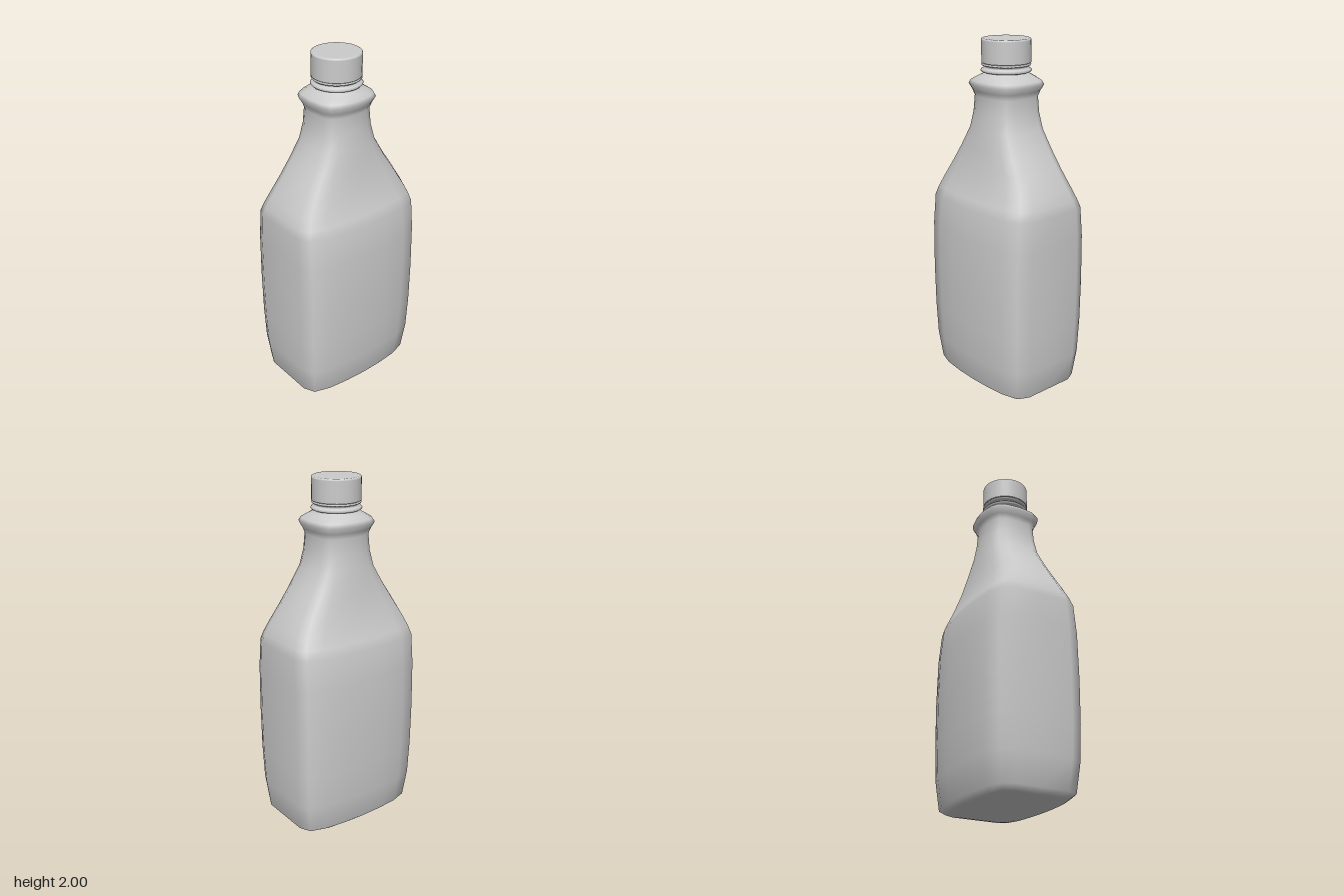
import * as THREE from 'three';

const material = new THREE.MeshStandardMaterial({ color: 0xcccccc, side: THREE.DoubleSide });

// Quarter outline of the body section (unit size), and the angles of its rounded counterpart
const quarter = [[1, 0], [1, 0.58], [0.92, 0.82], [0.67, 0.935], [0.33, 0.985]];
const angles = [0, 27, 45, 60, 75];

// Closed unit outline; round = 0 is the boxy body, 1 is a circle
function outline(round) {
  const q = quarter.map(([x, z], i) => {
    const a = THREE.MathUtils.degToRad(angles[i]);
    return [THREE.MathUtils.lerp(x, Math.cos(a), round), THREE.MathUtils.lerp(z, Math.sin(a), round)];
  });
  const end = [0, 1];
  const mirror = ([x, z]) => [-x, z];
  const half = [...q, end, ...q.slice(1).reverse().map(mirror)];
  return [...half, ...half.map(([x, z]) => [-x, -z])];
}

// Loft through sections of [y, half width, half depth, roundness]
function loft(sections) {
  const pos = [], index = [];
  sections.forEach(([y, w, d, round]) => outline(round).forEach(([x, z]) => pos.push(x * w, y, z * d)));
  const n = outline(0).length;
  for (let s = 0; s < sections.length - 1; s++) {
    for (let i = 0; i < n; i++) {
      const a = s * n + i, b = s * n + (i + 1) % n;
      index.push(a, a + n, b, b, a + n, b + n);
    }
  }
  // Base
  const centre = pos.length / 3;
  pos.push(0, sections[0][0], 0);
  for (let i = 0; i < n; i++) index.push(centre, i, (i + 1) % n);
  const g = new THREE.BufferGeometry();
  g.setAttribute('position', new THREE.Float32BufferAttribute(pos, 3));
  g.setIndex(index);
  g.computeVertexNormals();
  return g;
}

function lathe(points) {
  return new THREE.LatheGeometry(points.map(([r, y]) => new THREE.Vector2(r, y)), 32);
}

export function createModel() {
  const group = new THREE.Group();
  const add = (name, geometry) => {
    const mesh = new THREE.Mesh(geometry, material);
    mesh.name = name;
    group.add(mesh);
  };

  // Body, sloping shoulder and flared collar
  add('bottleBody', loft([
    [0.005, 0.30, 0.20, 0],
    [0.010, 0.335, 0.235, 0],
    [0.035, 0.376, 0.265, 0],
    [0.20, 0.395, 0.288, 0],
    [0.40, 0.402, 0.296, 0],
    [0.65, 0.403, 0.30, 0],
    [0.92, 0.402, 0.295, 0],
    [1.09, 0.398, 0.277, 0],
    [1.14, 0.386, 0.256, 0.02],
    [1.20, 0.362, 0.232, 0.06],
    [1.30, 0.308, 0.203, 0.15],
    [1.40, 0.247, 0.186, 0.25],
    [1.51, 0.187, 0.169, 0.4],
    [1.60, 0.165, 0.157, 0.45],
    [1.69, 0.158, 0.150, 0.45],
    [1.72, 0.168, 0.162, 0.45],
    [1.755, 0.187, 0.180, 0.45],
    [1.775, 0.178, 0.172, 0.5],
    [1.795, 0.152, 0.150, 0.75],
    [1.81, 0.128, 0.128, 1],
    [1.82, 0.118, 0.118, 1],
  ]));

  // Neck with its tamper ring
  add('neckRing', lathe([
    [0.116, 1.80], [0.118, 1.818], [0.134, 1.822], [0.14, 1.83], [0.134, 1.838],
    [0.12, 1.843], [0.118, 1.853], [0.132, 1.856], [0.136, 1.862], [0.130, 1.868], [0.118, 1.872],
  ]));

  // Screw cap
  add('cap', lathe([
    [0, 1.868], [0.13, 1.868], [0.13, 1.868], [0.135, 1.871], [0.135, 1.873], [0.135, 1.99],
    [0.135, 1.992], [0.133, 1.997], [0.128, 2.0], [0.126, 2.0], [0, 2.0],
  ]));

  return group;
}
